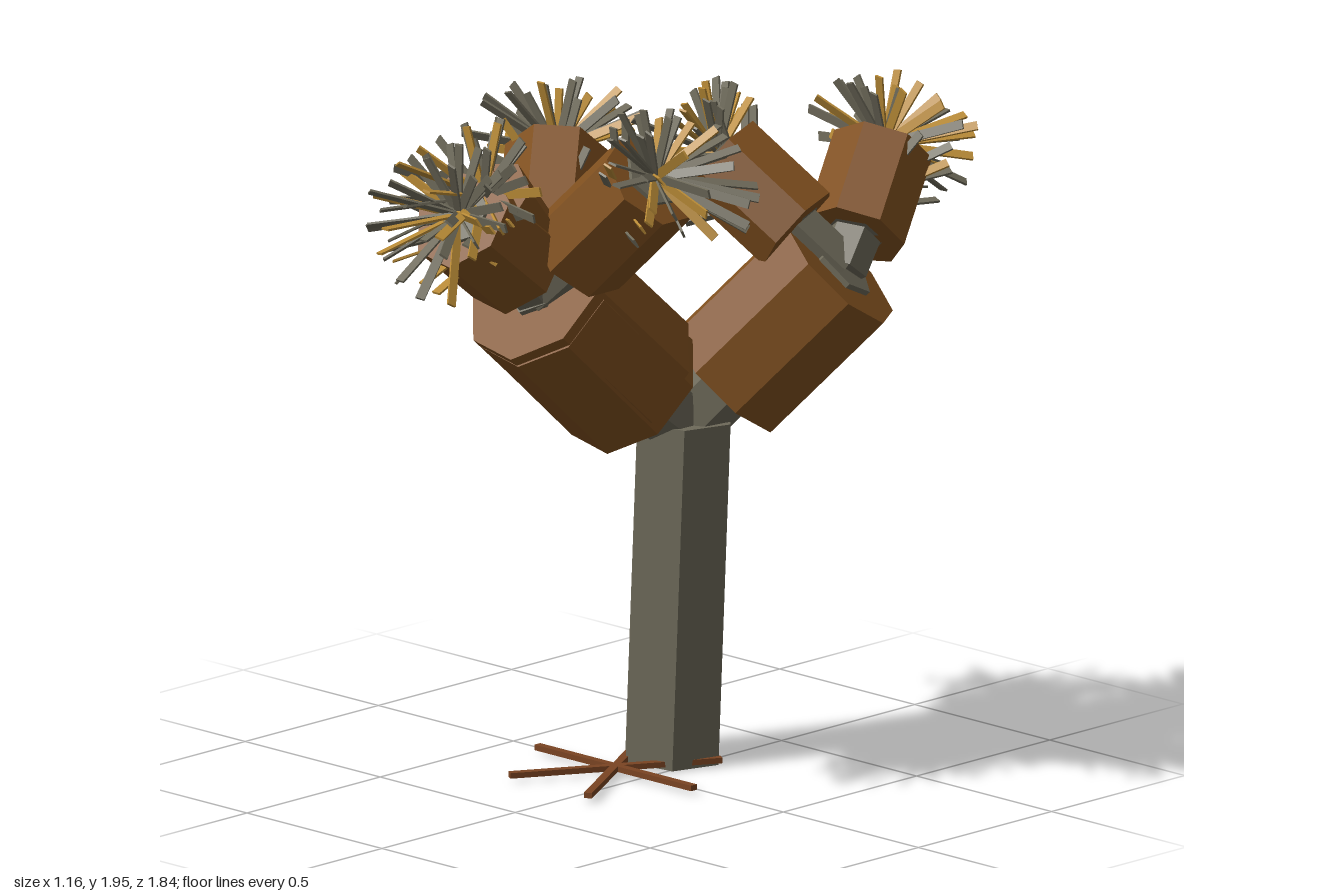
import * as THREE from 'three';

const mat = (name, color) => {
  const m = new THREE.MeshStandardMaterial({ color, flatShading: true });
  m.name = name;
  return m;
};
const V = (a) => new THREE.Vector3(...a);
const UP = new THREE.Vector3(0, 1, 0);

export function createModel() {
  const tree = new THREE.Group();
  tree.name = 'tree';
  const wood = mat('grey wood', 0x6e6a5a);
  const bark = mat('brown bark', 0x80501f);
  const gold = mat('gold needle', 0xb88a36);
  const rootBrown = mat('root brown', 0x7a4422);

  let seed = 7;
  const rand = () => (seed = (seed * 16807) % 2147483647) / 2147483647;

  // Faceted log running from point a to point b
  function log(name, a, b, r, sides, material, twist = 0) {
    const d = b.clone().sub(a);
    const g = new THREE.CylinderGeometry(r, r, d.length(), sides);
    g.rotateY(twist);
    const m = new THREE.Mesh(g, material);
    m.name = name;
    m.position.copy(a).add(b).multiplyScalar(0.5);
    m.quaternion.setFromUnitVectors(UP, d.normalize());
    tree.add(m);
  }

  // Flat needle starting at a point, gold or grey
  function needle(parent, from, dir, length) {
    const g = new THREE.BoxGeometry(0.025, length, 0.006);
    g.translate(0, length / 2, 0);
    const m = new THREE.Mesh(g, rand() < 0.32 ? gold : wood);
    m.name = 'needle';
    m.position.copy(from);
    m.quaternion.setFromUnitVectors(UP, dir);
    parent.add(m);
  }

  // Trunk and the star of roots at its foot
  const fork = V([-0.04, 0.95, -0.175]);
  log('trunk', V([-0.085, 0.01, -0.175]), fork, 0.141, 6, wood, Math.PI / 4);
  for (let i = 0; i < 3; i++) {
    const m = new THREE.Mesh(new THREE.BoxGeometry(0.58, 0.015, 0.022), rootBrown);
    m.name = 'root';
    m.position.set(-0.082, 0.021, 0.04);
    m.rotation.y = (i * Math.PI) / 3;
    tree.add(m);
  }

  // Bark head on a grey stem, crowned by a wide fan of needles
  function head(joint, baseAt, tipAt, r, count) {
    const base = V(baseAt), tip = V(tipAt);
    const axis = tip.clone().sub(base).normalize();
    log('headStem', joint, base.clone().addScaledVector(axis, 0.05), 0.075, 6, wood);
    log('headBark', base, tip, r, 7, bark, 0.3);
    log('headCore', base, tip.clone().addScaledVector(axis, 0.012), r * 0.6, 6, wood);

    // The fan droops a little below the head's own axis
    const burst = new THREE.Group();
    burst.name = 'needleBurst';
    tree.add(burst);
    const droop = axis.clone().addScaledVector(UP, -0.15).normalize();
    const turn = new THREE.Quaternion().setFromUnitVectors(UP, droop);
    const heart = tip.clone().addScaledVector(axis, 0.015);
    for (let i = 0; i < count; i++) {
      const tilt = 0.35 + 1.05 * Math.sqrt((i + 0.5) / count);
      const spin = i * 2.39996 + rand() * 0.5;
      const dir = new THREE.Vector3().setFromSphericalCoords(1, tilt, spin).applyQuaternion(turn);
      const reach = (0.22 + rand() * 0.07) * (1 - 0.3 * Math.max(0, dir.y));
      needle(burst, heart, dir, reach);
    }
    // Short stubs poking through the sides of the bark
    for (let i = 0; i < 8; i++) {
      const side = new THREE.Vector3().setFromSphericalCoords(1, 0.9, rand() * 6.283).applyQuaternion(turn);
      const from = base.clone().lerp(tip, 0.3 + rand() * 0.5);
      needle(burst, from, side, r * 1.25 + 0.06);
    }
  }

  // Main limb: grey core wrapped in bark, with a grey cut end
  function limb(startAt, endAt, r, capR) {
    const start = V(startAt), end = V(endAt);
    const axis = end.clone().sub(start).normalize();
    log('limbCore', fork.clone().addScaledVector(UP, -0.02), start.clone().addScaledVector(axis, 0.1), 0.095, 6, wood);
    log('limbBark', start, end, r, 8, bark, 0.2);
    log('limbCap', start, end.clone().addScaledVector(axis, 0.015), capR, 6, wood);
    return end;
  }

  // Pair of overlapping front limbs with their heads
  limb([-0.05, 1.06, 0.01], [-0.06, 1.36, 0.335], 0.205, 0.08);
  const front = limb([-0.055, 1.1, 0.03], [-0.07, 1.39, 0.35], 0.215, 0.08);
  head(front, [-0.06, 1.48, 0.43], [-0.055, 1.65, 0.645], 0.15, 30);
  head(front, [-0.06, 1.49, 0.4], [-0.045, 1.685, 0.565], 0.13, 26);
  head(front, [0.055, 1.51, 0.32], [0.3, 1.75, 0.29], 0.145, 36);
  head(front, [-0.12, 1.44, 0.26], [-0.3, 1.655, 0.04], 0.14, 36);

  // Back limb with two heads
  const back = limb([0.06, 1.06, -0.235], [0.3, 1.37, -0.415], 0.195, 0.1);
  head(back, [0.3, 1.45, -0.47], [0.225, 1.635, -0.65], 0.138, 36);
  head(back, [0.23, 1.48, -0.33], [0.02, 1.65, -0.255], 0.133, 36);

  return tree;
}
